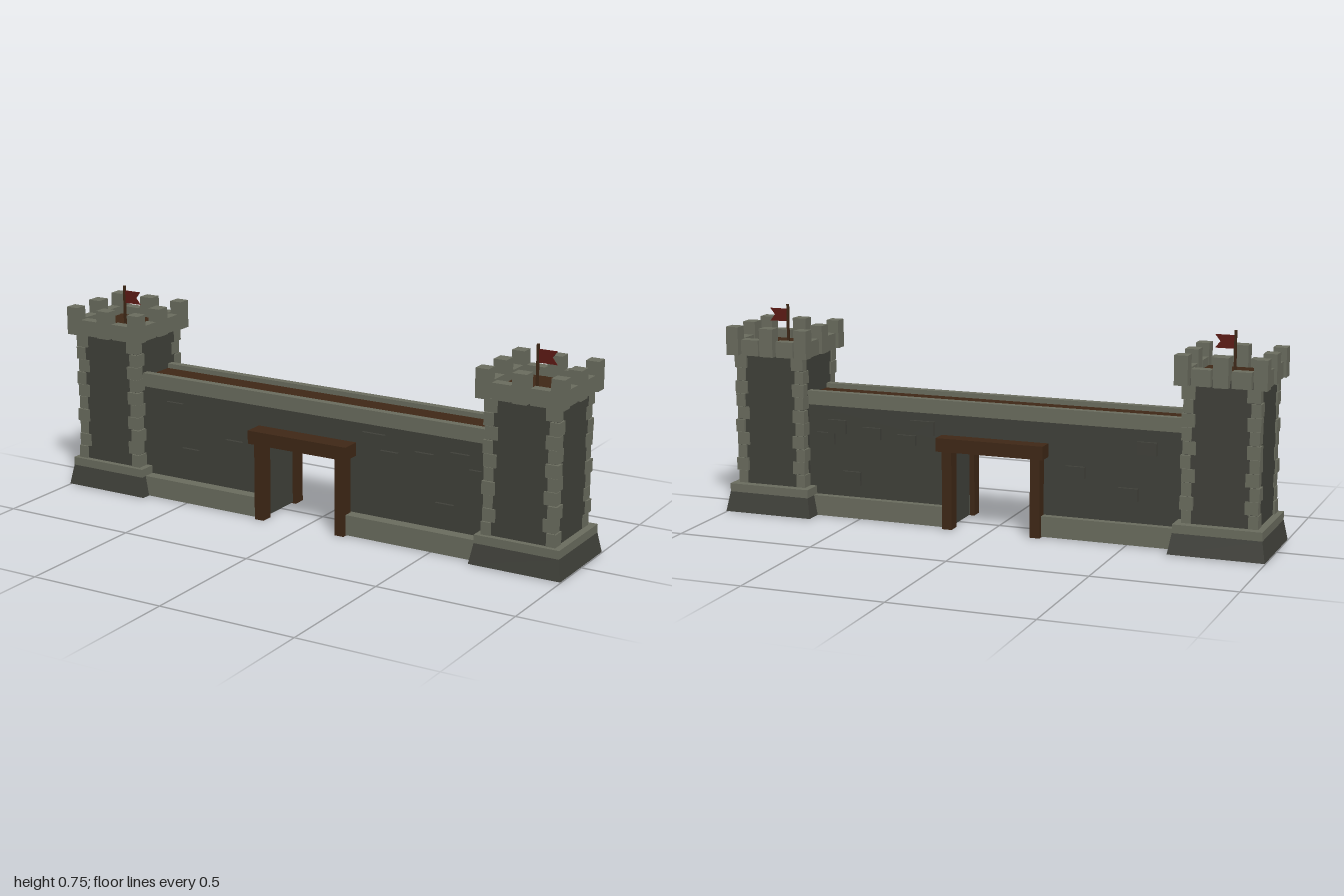
import * as THREE from 'three';

const mat = (color, side = THREE.FrontSide) =>
  new THREE.MeshStandardMaterial({ color, side, flatShading: true });
const lightStone = mat(0x6b6d5f);
const darkStone = mat(0x40413a);
const wood = mat(0x3f2816);
const cloth = mat(0x5e1a14, THREE.DoubleSide);

// Box given by its extents along each axis
function block(parent, name, material, [x0, x1], [y0, y1], [z0, z1]) {
  const mesh = new THREE.Mesh(new THREE.BoxGeometry(x1 - x0, y1 - y0, z1 - z0), material);
  mesh.position.set((x0 + x1) / 2, (y0 + y1) / 2, (z0 + z1) / 2);
  mesh.name = name;
  parent.add(mesh);
  return mesh;
}

// Box given by its centre and size
function stone(parent, name, material, x, y, z, w, h, d) {
  return block(parent, name, material, [x - w / 2, x + w / 2], [y - h / 2, y + h / 2], [z - d / 2, z + d / 2]);
}

function createCornerStones() {
  const group = new THREE.Group();
  group.name = 'cornerStones';
  const rows = 10, bottom = 0.105, rowHeight = 0.0472;
  for (const sx of [-1, 1]) for (const sz of [-1, 1]) {
    for (let i = 0; i < rows; i++) {
      const out = 0.134 + 0.003 * Math.sin(i * 2.3 + sx + sz * 2);
      const long = 0.046, short = 0.034;
      const w = i % 2 ? long : short, d = i % 2 ? short : long;
      stone(group, 'cornerStone', lightStone,
        sx * (out - w / 2), bottom + (i + 0.5) * rowHeight, sz * (out + 0.002 - d / 2),
        w, rowHeight - 0.002, d);
    }
  }
  return group;
}

function createBattlements() {
  const group = new THREE.Group();
  group.name = 'battlements';
  const t = 0.047, r = 0.158, y = 0.578, high = 0.102, low = 0.057;
  const add = (x, z, w, h, d) => stone(group, 'merlon', lightStone, x, y + h / 2, z, w, h, d);
  const c = r - t / 2;
  for (const s of [-1, 1]) {
    // Corners, then the tall middle and two low pieces of each side
    for (const u of [-1, 1]) {
      add(s * c, u * c, t, high, t);
      add(s * (c - 0.004), u * 0.069, t - 0.008, low, 0.067);
      add(u * 0.069, s * (c - 0.004), 0.067, low, t - 0.008);
    }
    add(s * c, 0, t, high, 0.052);
    add(0, s * c, 0.052, high, t);
  }
  return group;
}

function createFlag() {
  const group = new THREE.Group();
  group.name = 'flag';
  stone(group, 'flagPole', wood, 0, 0.672, 0, 0.008, 0.15, 0.008);
  // Swallow-tailed pennant
  const shape = new THREE.Shape();
  shape.moveTo(0, 0.684);
  shape.lineTo(0.07, 0.684);
  shape.lineTo(0.052, 0.707);
  shape.lineTo(0.07, 0.73);
  shape.lineTo(0, 0.73);
  const pennant = new THREE.Mesh(
    new THREE.ExtrudeGeometry(shape, { depth: 0.003, bevelEnabled: false }), cloth);
  pennant.position.z = -0.0015;
  pennant.name = 'pennant';
  group.add(pennant);
  return group;
}

function createTower(x) {
  const tower = new THREE.Group();
  tower.name = 'tower';
  tower.position.x = x;

  // Sloping square footing
  const footing = new THREE.Mesh(
    new THREE.CylinderGeometry(0.155 * Math.SQRT2, 0.168 * Math.SQRT2, 0.072, 4).rotateY(Math.PI / 4), darkStone);
  footing.position.y = 0.039;
  footing.name = 'footing';
  tower.add(footing);
  stone(tower, 'footingTrim', lightStone, 0, 0.09, 0, 0.31, 0.03, 0.31);

  const upper = new THREE.Group();
  upper.name = 'towerBody';
  upper.position.z = 0.005;
  stone(upper, 'shaft', darkStone, 0, 0.35, 0, 0.258, 0.5, 0.258);
  stone(upper, 'roofFloor', wood, 0, 0.6, 0, 0.226, 0.01, 0.226);
  const flag = createFlag();
  flag.position.set(-0.006, 0, 0.01);
  upper.add(createCornerStones(), createBattlements(), flag);
  tower.add(upper);
  return tower;
}

function createWall() {
  const wall = new THREE.Group();
  wall.name = 'wall';

  // Wall body with the gateway cut out
  const shape = new THREE.Shape();
  [[-0.74, 0.004], [-0.17, 0.004], [-0.17, 0.3], [0.15, 0.3], [0.15, 0.004],
    [0.74, 0.004], [0.74, 0.41], [-0.74, 0.41]]
    .forEach(([x, y], i) => (i ? shape.lineTo(x, y) : shape.moveTo(x, y)));
  const body = new THREE.Mesh(
    new THREE.ExtrudeGeometry(shape, { depth: 0.166, bevelEnabled: false }), darkStone);
  body.position.z = -0.076;
  body.name = 'wallBody';
  wall.add(body);

  // Plinth on both sides of the gateway
  block(wall, 'plinth', lightStone, [-0.74, -0.172], [0.003, 0.076], [-0.102, 0.133]);
  block(wall, 'plinth', lightStone, [0.152, 0.74], [0.003, 0.076], [-0.102, 0.133]);

  // Parapets and the walkway between them
  block(wall, 'backParapet', lightStone, [-0.72, 0.72], [0.405, 0.455], [-0.085, -0.058]);
  block(wall, 'frontParapet', lightStone, [-0.72, 0.72], [0.405, 0.455], [0.07, 0.098]);
  block(wall, 'walkway', wood, [-0.72, 0.72], [0.405, 0.438], [-0.06, 0.072]);

  // Raised bricks passing through the wall: x, y, width, height
  const bricks = [
    [-0.565, 0.34, 0.07, 0.045], [-0.5, 0.175, 0.07, 0.045], [-0.31, 0.238, 0.07, 0.04],
    [0.26, 0.35, 0.09, 0.05], [0.32, 0.302, 0.07, 0.035], [0.455, 0.315, 0.07, 0.042],
    [0.59, 0.33, 0.07, 0.05], [0.635, 0.285, 0.07, 0.042], [0.535, 0.145, 0.07, 0.05]];
  for (const [x, y, w, h] of bricks) stone(wall, 'raisedBrick', darkStone, x, y, 0.007, w, h, 0.188);
  return wall;
}

function createGate() {
  const gate = new THREE.Group();
  gate.name = 'gateFrame';
  gate.position.set(-0.011, 0, 0.0145);
  for (const s of [-1, 1]) {
    for (const u of [-1, 1]) stone(gate, 'gatePost', wood, s * 0.164, 0.145, u * 0.109, 0.036, 0.29, 0.048);
    stone(gate, 'lintel', wood, 0, 0.306, s * 0.108, 0.396, 0.048, 0.082);
  }
  return gate;
}

export function createModel() {
  const model = new THREE.Group();
  model.name = 'castleWall';
  model.add(createTower(-0.832), createTower(0.832), createWall(), createGate());
  return model;
}
